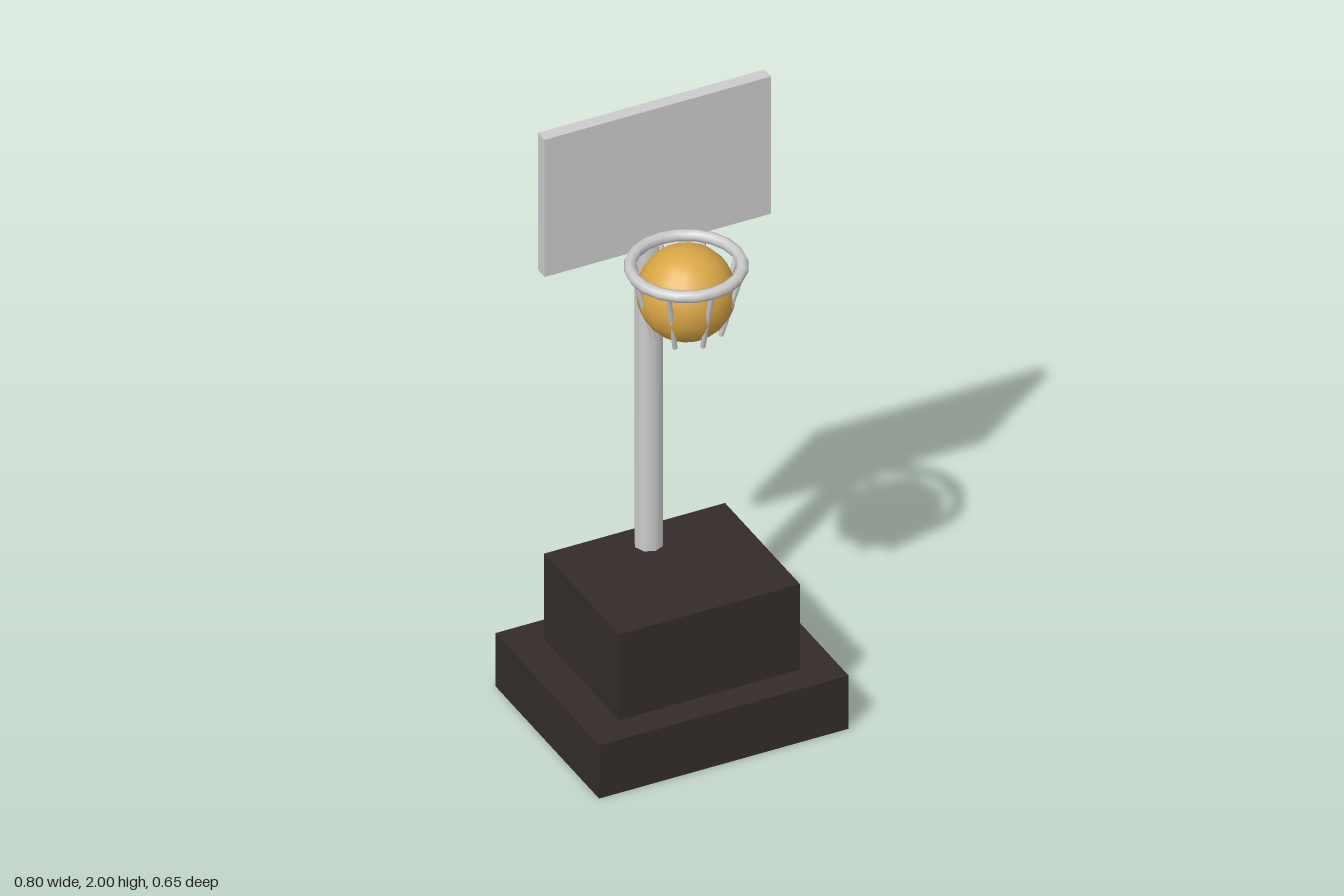
import * as THREE from 'three';

export function createModel() {
  const model = new THREE.Group();
  const grey = new THREE.MeshStandardMaterial({ color: 0xcccccc });
  const dark = new THREE.MeshStandardMaterial({ color: 0x332b29 });
  const orange = new THREE.MeshStandardMaterial({ color: 0xd9a646 });

  function add(name, geometry, material, x, y, z, parent = model) {
    const mesh = new THREE.Mesh(geometry, material);
    mesh.name = name;
    mesh.position.set(x, y, z);
    parent.add(mesh);
    return mesh;
  }

  // Stepped base
  add('lowerBase', new THREE.BoxGeometry(0.8, 0.182, 0.654), dark, 0, 0.091, 0);
  add('upperBase', new THREE.BoxGeometry(0.58, 0.293, 0.472), dark, 0, 0.3285, 0);

  // Octagonal pole, standing behind the backboard
  add('pole', new THREE.CylinderGeometry(0.043, 0.043, 1.28, 8), grey, 0, 1.11, -0.147);
  add('backboard', new THREE.BoxGeometry(0.726, 0.47, 0.041), grey, 0, 1.765, -0.11);

  // Hoop: rim, hanging strands and the ball caught inside
  const hoop = new THREE.Group();
  hoop.name = 'hoop';
  hoop.position.z = 0.09;
  model.add(hoop);

  const rim = new THREE.TorusGeometry(0.162, 0.018, 8, 20).rotateX(Math.PI / 2);
  add('rim', rim, grey, 0, 1.565, 0, hoop);
  add('ball', new THREE.SphereGeometry(0.144, 18, 14), orange, 0, 1.475, 0, hoop);

  // Net strands lean inward from the rim
  const up = new THREE.Vector3(0, 1, 0);
  for (let i = 0; i < 8; i++) {
    const a = (i * Math.PI) / 4;
    const top = new THREE.Vector3(Math.cos(a) * 0.165, 1.565, Math.sin(a) * 0.165);
    const bottom = new THREE.Vector3(Math.cos(a) * 0.104, 1.35, Math.sin(a) * 0.104);
    const along = top.clone().sub(bottom);
    const middle = top.clone().add(bottom).multiplyScalar(0.5);
    const strand = add('netStrand', new THREE.CylinderGeometry(0.008, 0.008, along.length(), 8),
      grey, middle.x, middle.y, middle.z, hoop);
    strand.quaternion.setFromUnitVectors(up, along.normalize());
  }

  return model;
}
